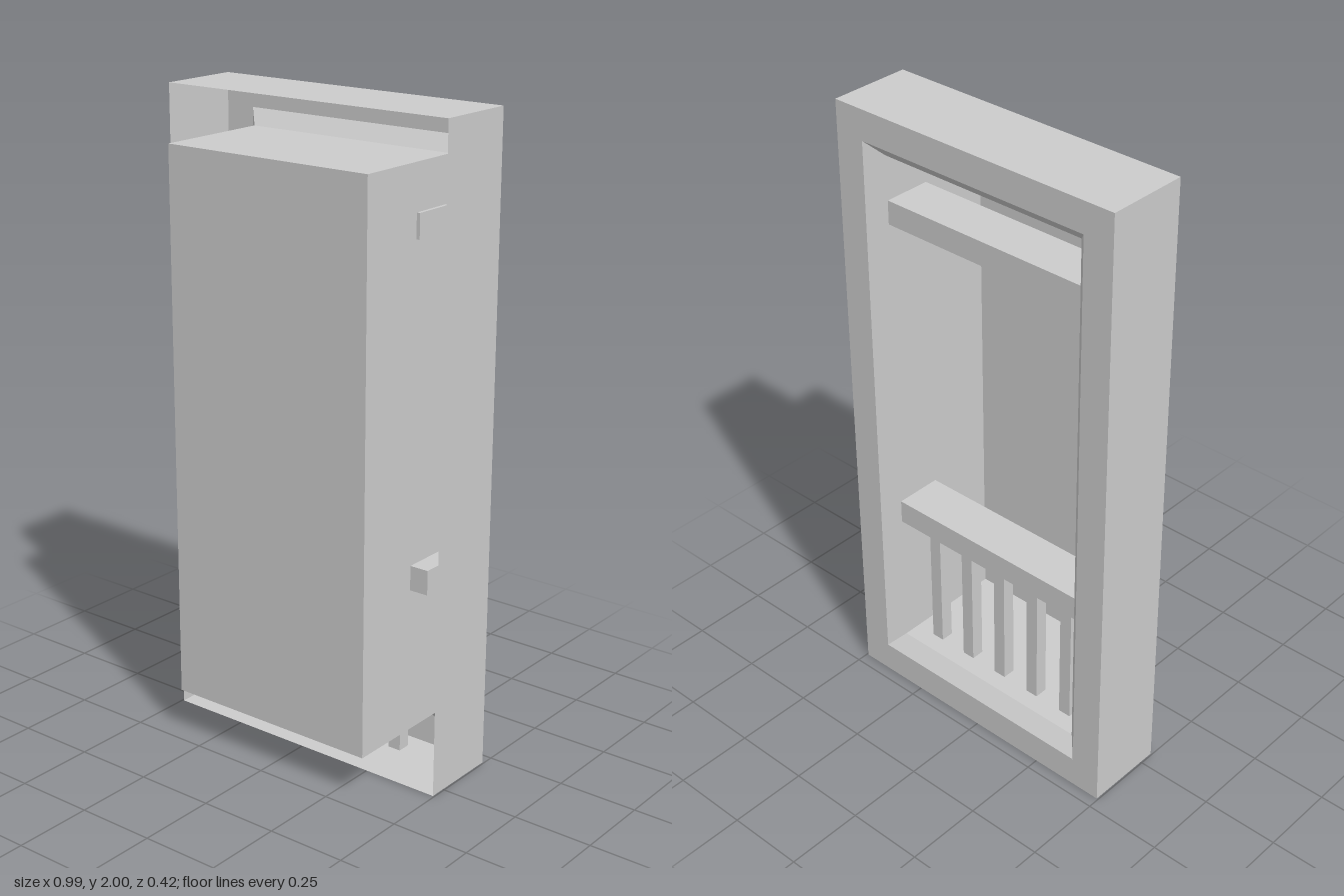
import * as THREE from 'three';

const shell = new THREE.MeshStandardMaterial({ color: 0xcccccc, flatShading: true, side: THREE.DoubleSide });
const solid = new THREE.MeshStandardMaterial({ color: 0xcccccc, flatShading: true });

// Rectangular cross-section: half width, bottom, top, depth position
const rect = (w, y0, y1, z) => [[-w, y0, z], [w, y0, z], [w, y1, z], [-w, y1, z]];

// Four thin faces joining one rectangle to the next
function band(name, a, b) {
  const pos = [];
  for (let i = 0; i < 4; i++) {
    const j = (i + 1) % 4;
    for (const p of [a[i], b[i], b[j], a[i], b[j], a[j]]) pos.push(...p);
  }
  const geo = new THREE.BufferGeometry();
  geo.setAttribute('position', new THREE.Float32BufferAttribute(pos, 3));
  geo.computeVertexNormals();
  const mesh = new THREE.Mesh(geo, shell);
  mesh.name = name;
  return mesh;
}

// Solid bar given by its minimum and maximum corners
function bar(name, x0, x1, y0, y1, z0, z1) {
  const mesh = new THREE.Mesh(new THREE.BoxGeometry(x1 - x0, y1 - y0, z1 - z0), solid);
  mesh.position.set((x0 + x1) / 2, (y0 + y1) / 2, (z0 + z1) / 2);
  mesh.name = name;
  return mesh;
}

export function createModel() {
  const group = new THREE.Group();
  group.name = 'wallNiche';

  // Thin shell: open at the front, folded round the back opening into a recess
  const sections = [
    rect(0.495, 0, 2, 0.05),
    rect(0.495, 0, 2, -0.211),
    rect(0.397, 0.1, 1.905, -0.211),
    rect(0.354, 0.145, 1.86, -0.167),
    rect(0.354, 0.145, 1.86, 0.211),
  ];
  ['casing', 'faceFrame', 'bevelledReveal', 'recessWalls'].forEach((name, i) =>
    group.add(band(name, sections[i], sections[i + 1])));

  // Panel closing the deep end of the recess
  const panel = new THREE.Mesh(new THREE.PlaneGeometry(0.708, 1.715), shell);
  panel.position.set(0, 1.0025, 0.211);
  panel.name = 'recessPanel';
  group.add(panel);

  // Cross rails, running through the side walls
  group.add(bar('upperRail', -0.41, 0.365, 1.645, 1.72, -0.165, -0.013));
  group.add(bar('lowerRail', -0.405, 0.415, 0.6, 0.677, -0.165, -0.013));

  // Balusters from the lower rail down through the recess floor
  for (let i = 0; i < 5; i++) {
    const x = -0.275 + i * 0.135;
    group.add(bar('baluster' + (i + 1), x - 0.021, x + 0.021, 0.03, 0.62, -0.111, -0.069));
  }
  return group;
}
